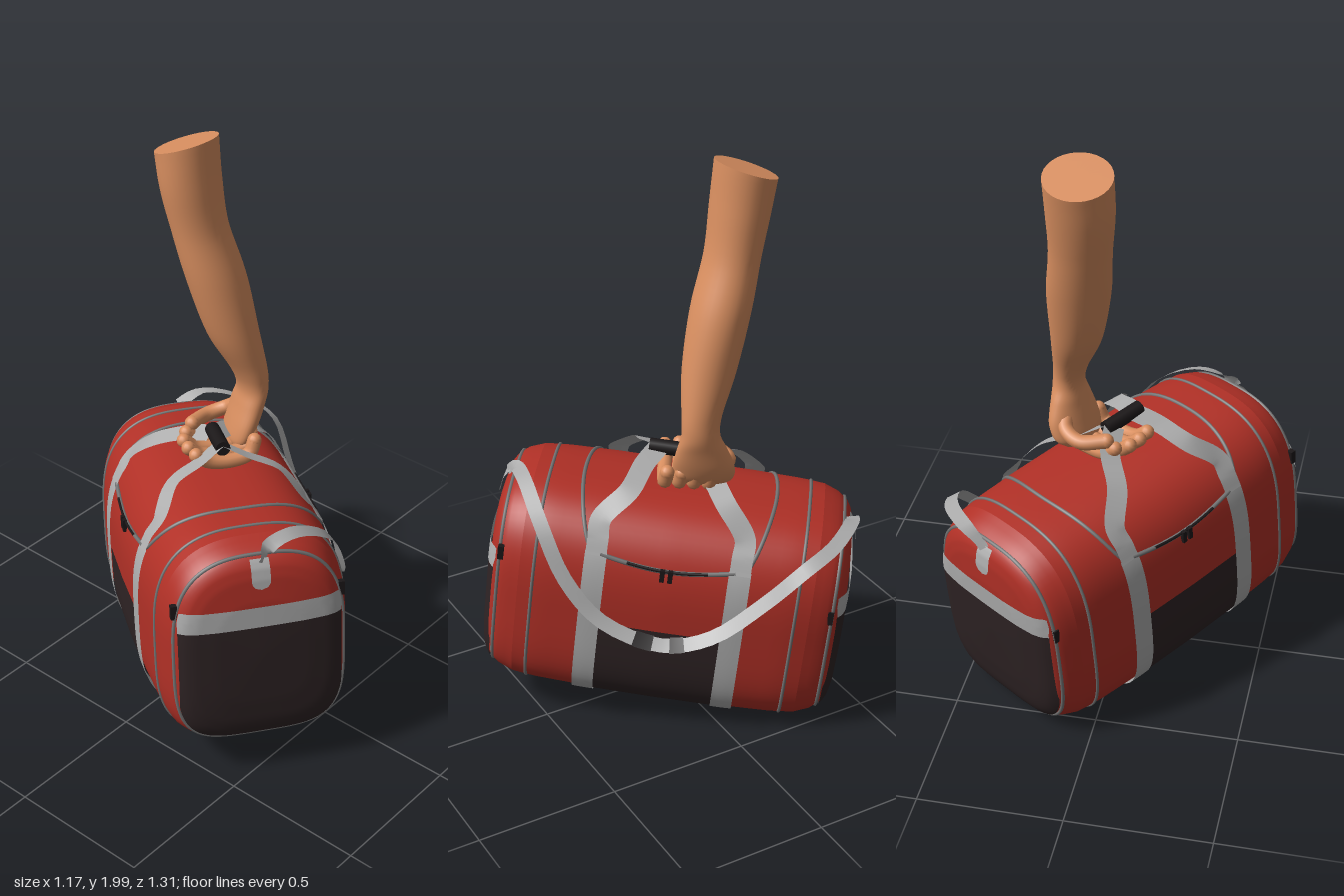
import * as THREE from 'three';
import { mergeVertices } from 'three/addons/utils/BufferGeometryUtils.js';

const paint = (name, color) => {
  const m = new THREE.MeshStandardMaterial({ color, side: THREE.DoubleSide });
  m.name = name;
  return m;
};
const V = (x, y, z) => new THREE.Vector3(x, y, z);
const rad = THREE.MathUtils.degToRad;
const YAW = -0.62, PITCH = -0.11;

// smooth sheet from a rule f(u, v)
function sheet(f, nu, nv) {
  const pos = [], idx = [];
  for (let i = 0; i <= nu; i++)
    for (let j = 0; j <= nv; j++) pos.push(...f(i / nu, j / nv).toArray());
  for (let i = 0; i < nu; i++)
    for (let j = 0; j < nv; j++) {
      const a = i * (nv + 1) + j, b = a + nv + 1;
      idx.push(a, b, a + 1, b, b + 1, a + 1);
    }
  let g = new THREE.BufferGeometry();
  g.setAttribute('position', new THREE.Float32BufferAttribute(pos, 3));
  g.setIndex(idx);
  g = mergeVertices(g, 1e-5);
  g.computeVertexNormals();
  return g;
}

// linear lookup in a short table of [key, value, ...] rows
function lookup(rows, k, c) {
  let i = 1;
  while (i < rows.length - 1 && rows[i][0] < k) i++;
  const a = rows[i - 1], b = rows[i];
  const t = THREE.MathUtils.clamp((k - a[0]) / (b[0] - a[0]), 0, 1);
  return a[c] + (b[c] - a[c]) * t;
}

// bag shape: half width and height along the length, then domed ends
const BODY = [[0, 0.347, 0.385], [0.25, 0.343, 0.385], [0.42, 0.332, 0.384], [0.5, 0.32, 0.38]];
const DOME = [[0, 0.625], [0.5, 0.62], [0.72, 0.612], [0.82, 0.602], [0.89, 0.585], [0.95, 0.553], [1, 0.5]];
const power = y => (y > 0 ? 2.8 : 4);
function section(w, h, t, off = 0) {
  const c = Math.cos(t), s = Math.sin(t), n = power(s);
  const r = (Math.abs(c / w) ** n + Math.abs(s / h) ** n) ** (-1 / n) + off;
  return [r * c, r * s];
}
function side(L, t, off = 0) {
  const k = Math.abs(L);
  return V(...section(lookup(BODY, k, 1), lookup(BODY, k, 2), t, off), L);
}
function domeRing(s, t, end) {
  const [x, y] = section(0.32, 0.38, t);
  return V(x * s, y * s, end * lookup(DOME, s, 1));
}
// point on the end dome, kept inside the seam
function domeAt(x, y, end, off) {
  const n = power(y);
  const rho = (Math.abs(x / 0.32) ** n + Math.abs(y / 0.38) ** n) ** (1 / n);
  const k = rho > 0.9 ? 0.9 / rho : 1;
  return V(end * x * k, y * k, end * (lookup(DOME, Math.min(rho, 0.9), 1) + off));
}

// flat webbing along a curve; n is roughly its facing direction
function ribbon(points, width, n, from = 0, to = 1) {
  const c = new THREE.CatmullRomCurve3(points);
  return sheet((u, v) => {
    const k = from + (to - from) * u;
    const w = c.getTangent(k).cross(n).normalize();
    return c.getPoint(k).addScaledVector(w, (v - 0.5) * width);
  }, 48, 2);
}
function cord(f, n, r, closed = false) {
  const pts = Array.from({ length: closed ? n : n + 1 }, (_, i) => f(i / n));
  return new THREE.TubeGeometry(new THREE.CatmullRomCurve3(pts, closed), n * 2, r, 6, closed);
}

export function createModel() {
  const red = paint('red fabric', 0xb03026), dark = paint('dark fabric', 0x2e2324);
  const light = paint('light webbing', 0xadadad), grey = paint('grey piping', 0x757575);
  const skin = paint('skin', 0xd98f60), black = paint('black hardware', 0x1b1718);

  const root = new THREE.Group();
  const bag = new THREE.Group();
  bag.name = 'bag';
  bag.rotation.set(PITCH, YAW, 0, 'YXZ');
  bag.position.y = 0.445;
  root.add(bag);
  const add = (parent, name, geo, mat) => {
    const m = new THREE.Mesh(geo, mat);
    m.name = name;
    parent.add(m);
    return m;
  };

  // main body and both domed ends
  add(bag, 'body', sheet((u, v) => side(u - 0.5, -v * 2 * Math.PI), 32, 96), red);
  for (const end of [1, -1]) {
    add(bag, 'endDome', sheet((u, v) => domeRing(1 - u, -end * v * 2 * Math.PI, end), 40, 96), red);
    // end pocket, its hem band and the seams
    const plate = (y0, y1, off) => sheet((u, v) =>
      domeAt((u - 0.5) * 0.56, y0 + (y1 - y0) * v, end, off), 40, 24);
    add(bag, 'endPocket', plate(-0.34, 0.1, 0.006), dark);
    add(bag, 'endPocketBand', plate(0.1, 0.175, 0.008), light);
    add(bag, 'endSeam', cord(u => domeRing(0.91, u * 2 * Math.PI, end), 64, 0.007, true), grey);
    add(bag, 'bodySeam', cord(u => side(end * 0.45, u * 2 * Math.PI), 64, 0.006, true), grey);
    // anchor tab for the shoulder strap
    add(bag, 'strapTab', sheet((u, v) => {
      const half = v < 0.3 ? 0.032 * Math.sqrt(1 - (1 - v / 0.3) ** 2) : 0.032;
      return domeAt((u - 0.5) * 2 * half, 0.24 + 0.1 * v, end, 0.012);
    }, 6, 16), light);
    for (const sx of [1, -1]) {
      const pull = add(bag, 'endZipPull', new THREE.BoxGeometry(0.022, 0.05, 0.02), black);
      pull.position.set(sx * 0.285, end > 0 ? 0.17 : 0.1, end * 0.57);
    }
  }

  // dark panel wrapping under the middle
  add(bag, 'lowerPanel', sheet((u, v) =>
    side((0.5 - u) * 0.44, rad(183 + 174 * v), 0.004), 12, 72), dark);

  // webbing around the bag, with the bowed lid seams beside it
  for (const sz of [1, -1]) {
    add(bag, 'bodyStrap', sheet((u, v) =>
      side(sz * 0.245 + (0.5 - u) * 0.075, rad(142 + 256 * v), 0.008), 4, 96), light);
    add(bag, 'lidSeam', cord(u =>
      side(sz * (0.25 + 0.085 * Math.abs(Math.sin(u * Math.PI)) ** 0.6), rad(37 + 106 * u)), 40, 0.007), grey);
  }

  // lid zips, pulls and carrying handles
  for (const sx of [1, -1]) {
    const zip = (u, off) => {
      const t = rad(37 - 4 * Math.sin(u * Math.PI));
      return side((u - 0.5) * 0.46, sx > 0 ? t : Math.PI - t, off);
    };
    add(bag, 'lidZip', cord(u => zip(u, 0.003), 24, 0.008), grey);
    add(bag, 'lidZipTeeth', cord(u => zip(0.2 + 0.6 * u, 0.009), 16, 0.005), black);
    for (const d of [-0.03, 0.03]) {
      const pull = add(bag, 'lidZipPull', new THREE.BoxGeometry(0.014, 0.045, 0.016), black);
      pull.position.copy(zip(0.5 + d, 0.014));
      pull.position.y -= 0.018;
    }
    for (const sz of [1, -1]) {
      const on = (deg, off) => side(sz * 0.245, rad(sx > 0 ? deg : 180 - deg), off);
      add(bag, 'handle', ribbon([on(36, 0.009), on(44, 0.011), on(53, 0.02),
        V(sx * 0.19, 0.425, sz * 0.165), V(sx * 0.08, 0.475, 0.02 + sz * 0.11),
        V(sx * 0.012, 0.505, 0.045 + sz * 0.05)], 0.072, V(sx * 0.6, 0.8, 0)), light);
    }
  }
  const wrap = add(bag, 'grip', new THREE.CylinderGeometry(0.026, 0.026, 0.16, 16), black);
  wrap.rotation.x = Math.PI / 2;
  wrap.position.set(0, 0.505, 0.045);

  // shoulder strap hanging on one side, with its buckle
  const strap = [[-0.315, 0.83, 0.465], [-0.28, 0.872, 0.455], [-0.17, 0.882, 0.475], [-0.01, 0.79, 0.495],
    [0.1, 0.62, 0.465], [0.2, 0.48, 0.38], [0.33, 0.405, 0.22], [0.42, 0.44, 0.08], [0.5, 0.57, -0.08],
    [0.555, 0.69, -0.2], [0.535, 0.735, -0.33], [0.45, 0.755, -0.46], [0.365, 0.715, -0.515]].map(p => V(...p));
  const facing = V(0.52, 0.76, 0.38);
  add(root, 'shoulderStrap', ribbon(strap, 0.05, facing), light);
  for (const k of [0.475, 0.525]) {
    const b = add(root, 'buckle', ribbon(strap, 0.056, facing, k - 0.012, k + 0.012), black);
    b.position.copy(facing).multiplyScalar(0.005);
  }

  // arm and palm: [x, y, z, half width, half depth, turn]
  const rings = [[0.102, 1.965, -0.225, 0.114, 0.1, 0], [0.1, 1.83, -0.205, 0.112, 0.096, 0],
    [0.108, 1.68, -0.175, 0.104, 0.092, 0], [0.128, 1.5, -0.12, 0.107, 0.1, 0],
    [0.15, 1.3, -0.065, 0.088, 0.093, 0], [0.182, 1.16, -0.02, 0.06, 0.07, -0.1],
    [0.192, 1.09, -0.01, 0.052, 0.066, -0.3], [0.185, 1.03, -0.02, 0.052, 0.085, -0.5],
    [0.172, 0.96, -0.035, 0.052, 0.104, YAW], [0.155, 0.905, -0.045, 0.045, 0.1, YAW],
    [0.14, 0.875, -0.05, 0.025, 0.07, YAW]];
  const centre = new THREE.CatmullRomCurve3(rings.map(r => V(r[0], r[1], r[2])), false, 'catmullrom');
  const size = new THREE.CatmullRomCurve3(rings.map(r => V(r[3], r[4], r[5])), false, 'catmullrom');
  const limb = (u, v, k = 1) => {
    const c = centre.getPoint(u), s = size.getPoint(u), a = v * 2 * Math.PI;
    const p = V(Math.cos(a) * s.x * k, 0, Math.sin(a) * s.y * k).applyAxisAngle(V(0, 1, 0), s.z);
    p.y = p.z * 0.36 * Math.max(0, 1 - u * 5);
    return p.add(c);
  };
  add(root, 'arm', sheet((u, v) => limb(u, 1 - v), 60, 32), skin);
  add(root, 'armEnd', sheet((u, v) => limb(0, v, 1 - u), 3, 32), skin);
  add(root, 'palmEnd', sheet((u, v) => limb(1, 1 - v, 1 - u), 3, 32), skin);

  // fingers curled under the grip, and the thumb; points are [across, height, along]
  const hand = ([x, y, L]) => V(x, 0, L).applyAxisAngle(V(0, 1, 0), YAW).setY(y);
  const digit = (name, pts, r) => {
    const p = pts.map(hand);
    add(root, name, new THREE.TubeGeometry(new THREE.CatmullRomCurve3(p), 20, r, 10), skin);
    for (const q of [p[0], p[p.length - 1]])
      add(root, name + 'Tip', new THREE.SphereGeometry(r, 12, 10), skin).position.copy(q);
  };
  [0.015, -0.035, -0.085, -0.135].forEach((L, i) => {
    const reach = [0, 0.015, 0.02, 0][i];
    digit('finger', [[0.13, 0.93, L - 0.02], [0.11, 0.885, L - 0.01], [0.04, 0.872, L],
      [-0.04 - reach, 0.885, L + 0.005], [-0.085 - reach, 0.92, L + 0.01]], 0.025);
  });
  digit('thumb', [[0.12, 1.0, -0.15], [0.08, 0.955, -0.2], [0.01, 0.935, -0.2], [-0.06, 0.945, -0.14]], 0.026);
  return root;
}
